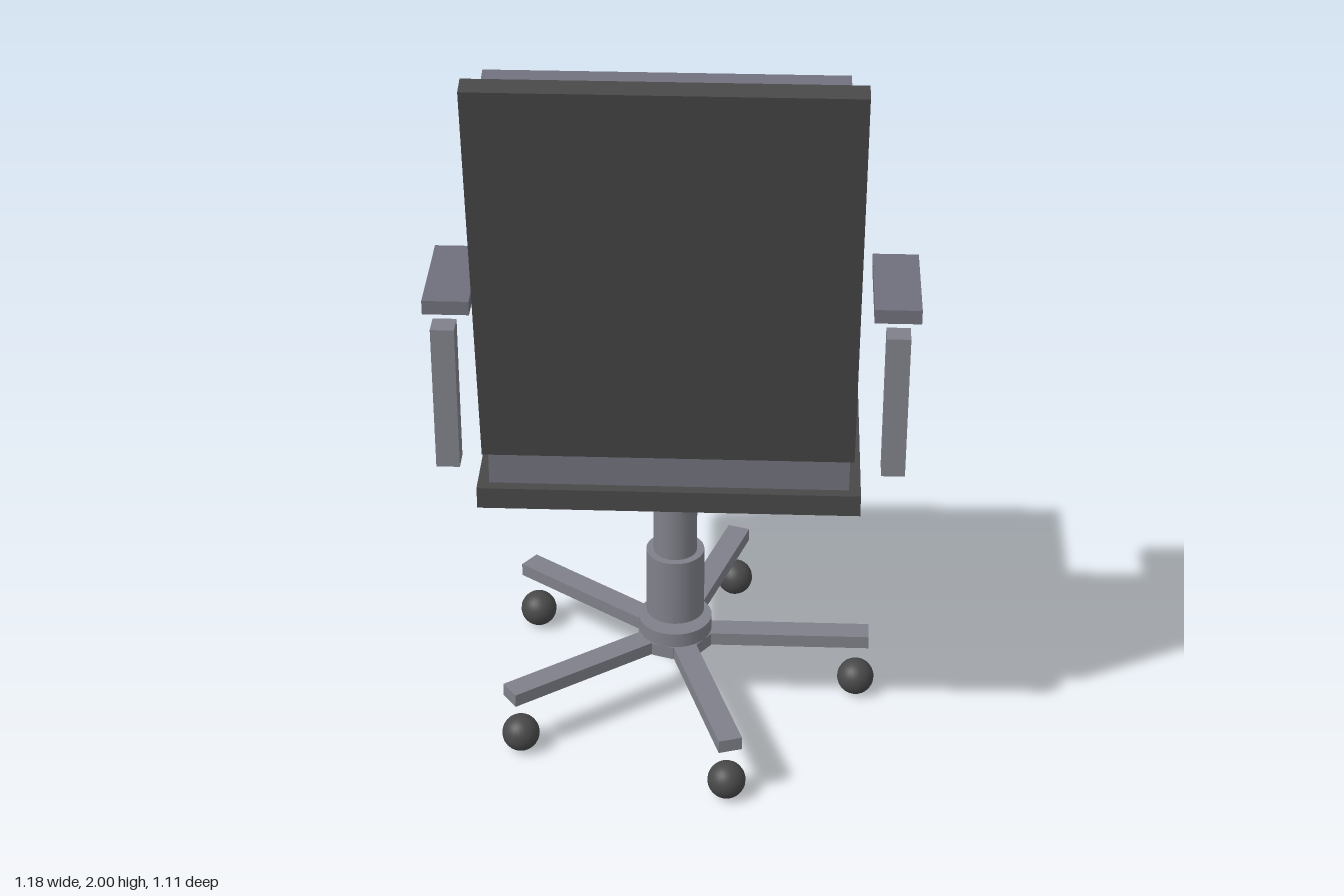
import * as THREE from 'three';

const AXIS_Z = -0.055; // column axis

export function createModel() {
  const chair = new THREE.Group();
  chair.name = 'officeChair';

  const grey = new THREE.MeshStandardMaterial({ color: 0x70707c });
  const metal = new THREE.MeshStandardMaterial({ color: 0x80808a });
  const dark = new THREE.MeshStandardMaterial({ color: 0x484848 });

  const add = (name, geometry, material, x, y, z, parent = chair) => {
    const mesh = new THREE.Mesh(geometry, material);
    mesh.name = name;
    mesh.position.set(x, y, z);
    parent.add(mesh);
    return mesh;
  };
  const box = (name, material, w, h, d, x, y, z, parent) =>
    add(name, new THREE.BoxGeometry(w, h, d), material, x, y, z, parent);
  const cylinder = (name, r, y0, y1, parent) =>
    add(name, new THREE.CylinderGeometry(r, r, y1 - y0, 32), metal, 0, (y0 + y1) / 2, 0, parent);

  // Star base: hub, column and five legs with ball casters
  const base = new THREE.Group();
  base.name = 'base';
  base.position.z = AXIS_Z;
  chair.add(base);
  cylinder('hub', 0.095, 0.162, 0.235, base);
  cylinder('lowerColumn', 0.075, 0.255, 0.44, base);
  cylinder('upperColumn', 0.056, 0.44, 0.82, base);
  for (let i = 0; i < 5; i++) {
    const arm = new THREE.Group();
    arm.name = 'legAndCaster';
    arm.rotation.y = (i * Math.PI * 2) / 5;
    base.add(arm);
    box('leg', metal, 0.6, 0.035, 0.06, 0.205, 0.178, 0, arm);
    add('caster', new THREE.SphereGeometry(0.048, 24, 16), dark, 0.475, 0.05, 0, arm);
  }

  // Seat
  box('seatPan', dark, 0.914, 0.055, 0.82, 0, 0.842, AXIS_Z);
  box('seatCushion', grey, 0.858, 0.13, 0.768, 0, 0.935, AXIS_Z);

  // Reclined backrest
  const tilt = THREE.MathUtils.degToRad(10);
  box('backPanel', dark, 0.876, 1.027, 0.052, 0, 1.49, 0.444).rotation.x = tilt;
  box('backCushion', grey, 0.802, 0.95, 0.102, 0, 1.497, 0.366).rotation.x = tilt;

  // Armrests
  for (const side of [-1, 1]) {
    box('armPost', metal, 0.057, 0.376, 0.057, side * 0.535, 1.057, 0.232);
    box('armPad', grey, 0.112, 0.036, 0.286, side * 0.535, 1.263, 0.042);
  }
  return chair;
}
